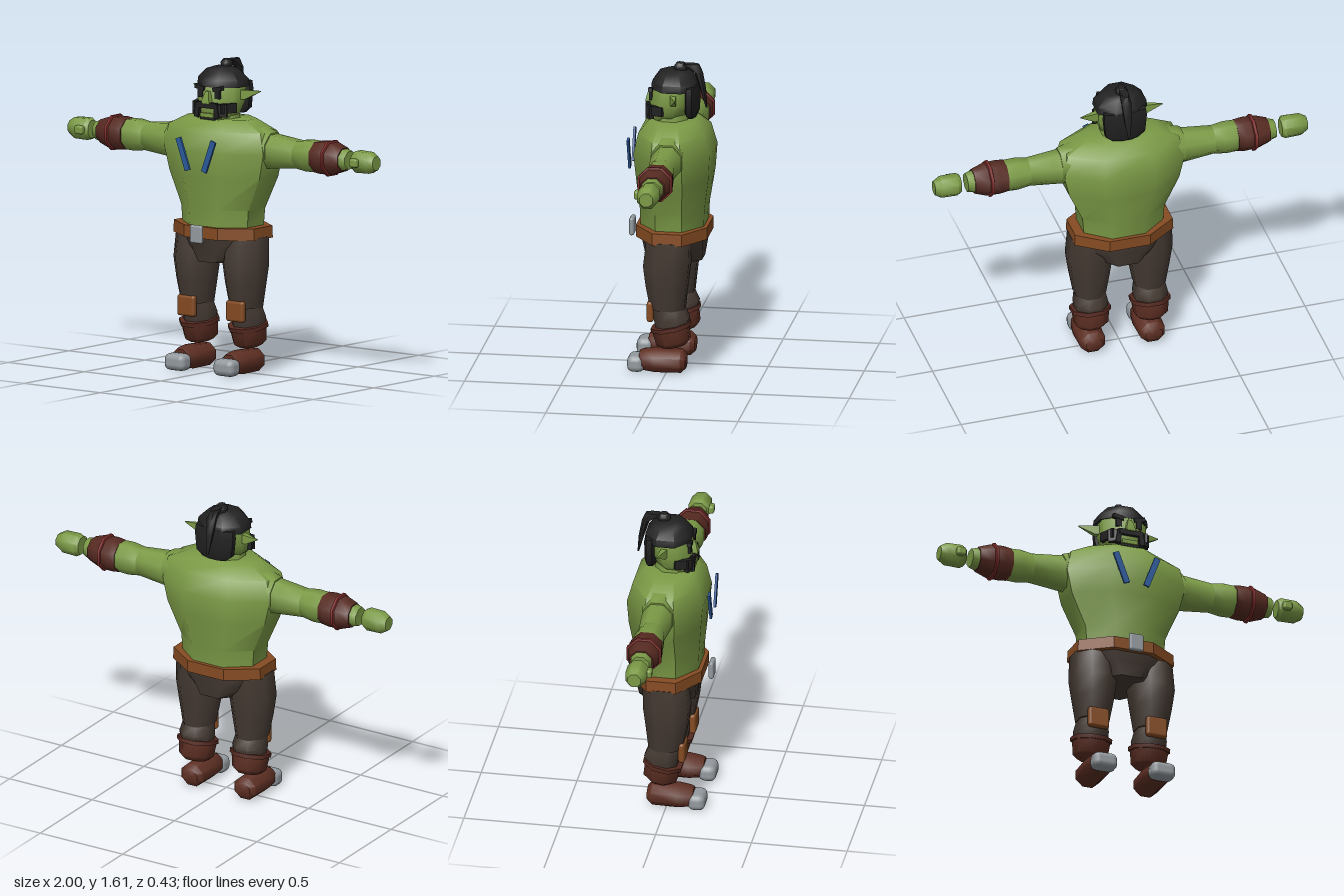
import * as THREE from 'three';
import { toCreasedNormals } from 'three/addons/utils/BufferGeometryUtils.js';
import { RoundedBoxGeometry } from 'three/addons/geometries/RoundedBoxGeometry.js';

const mat = (name, color) => new THREE.MeshStandardMaterial({ name, color });

// Octagonal loft along y; each section is [y, halfX, halfZ, centreX, centreZ].
function loft(sections, crease = 0.9, sides = 8) {
  const pos = [];
  const k = 1 / Math.cos(Math.PI / sides);
  const pt = ([y, hx, hz, cx = 0, cz = 0], j) => {
    const a = ((j + 0.5) / sides) * Math.PI * 2;
    return [cx + hx * k * Math.cos(a), y, cz + hz * k * Math.sin(a)];
  };
  const mid = ([y, , , cx = 0, cz = 0]) => [cx, y, cz];
  const last = sections.length - 1;
  for (let j = 0; j < sides; j++) {
    for (let i = 0; i < last; i++) {
      const a = pt(sections[i], j), b = pt(sections[i + 1], j);
      const c = pt(sections[i], j + 1), d = pt(sections[i + 1], j + 1);
      pos.push(...a, ...b, ...c, ...b, ...d, ...c);
    }
    pos.push(...mid(sections[0]), ...pt(sections[0], j), ...pt(sections[0], j + 1));
    pos.push(...mid(sections[last]), ...pt(sections[last], j + 1), ...pt(sections[last], j));
  }
  const g = new THREE.BufferGeometry();
  g.setAttribute('position', new THREE.Float32BufferAttribute(pos, 3));
  return toCreasedNormals(g, crease);
}

export function createModel() {
  const skin = mat('skin', 0x7b9a46), hair = mat('hair', 0x212122);
  const cloth = mat('trousers', 0x453a33), leather = mat('leather', 0x854b22);
  const boot = mat('bootLeather', 0x5e2f23), bracer = mat('bracerLeather', 0x562a21);
  const trim = mat('redTrim', 0x7c2c2a), steel = mat('steel', 0x949a9f);
  const blue = mat('blueStrap', 0x2b5a9c);

  const model = new THREE.Group();
  model.name = 'warrior';
  const add = (name, geo, m, p = [0, 0, 0], r = [0, 0, 0], parent = model) => {
    const mesh = new THREE.Mesh(geo, m);
    mesh.name = name;
    mesh.position.set(...p);
    mesh.rotation.set(...r);
    parent.add(mesh);
    return mesh;
  };
  const box = (w, h, d) => new THREE.BoxGeometry(w, h, d);
  const round = (w, h, d, r) => new RoundedBoxGeometry(w, h, d, 2, r);

  // Torso
  add('torso', loft([
    [0.73, 0.21, 0.163, 0, -0.015], [0.85, 0.22, 0.168, 0, -0.015],
    [1.02, 0.295, 0.188, 0, -0.02], [1.15, 0.325, 0.198, 0, -0.018],
    [1.26, 0.3, 0.17, 0, -0.015], [1.315, 0.19, 0.12, 0, -0.01],
  ]), skin);
  add('neck', loft([[1.29, 0.1, 0.09], [1.36, 0.09, 0.08]]), skin);

  // Belt, buckle and chest straps
  add('belt', loft([[0.7, 0.265, 0.185, 0, -0.015], [0.762, 0.262, 0.185, 0, -0.015]], 0.4), leather);
  add('buckle', round(0.08, 0.095, 0.026, 0.012), steel, [0, 0.727, 0.205]);
  for (const s of [-1, 1])
    add('chestStrap', box(0.032, 0.175, 0.012), blue, [s * 0.084, 1.137, 0.21], [0, 0, -s * 0.36]);

  // Hips
  add('hips', loft([
    [0.572, 0.13, 0.145, 0, -0.02], [0.65, 0.21, 0.155, 0, -0.02], [0.72, 0.25, 0.162, 0, -0.015],
  ]), cloth);

  // Head
  add('head', loft([
    [1.31, 0.075, 0.07, 0, 0.035], [1.345, 0.105, 0.095, 0, 0.015], [1.4, 0.12, 0.108, 0, 0],
    [1.5, 0.12, 0.105, 0, -0.01], [1.54, 0.09, 0.08, 0, -0.01],
  ]), skin);
  add('nose', loft([[1.395, 0.024, 0.022], [1.41, 0.024, 0.022], [1.46, 0.01, 0.008]], 0.5, 4), skin, [0, 0, 0.112]);
  add('lowerLip', box(0.085, 0.022, 0.03), skin, [0, 1.335, 0.108]);

  // Hair, topknot and ponytail
  add('hairCap', loft([
    [1.478, 0.133, 0.118, 0, -0.018], [1.515, 0.128, 0.114, 0, -0.018],
    [1.56, 0.085, 0.08, 0, -0.015], [1.576, 0.04, 0.045, 0, -0.015],
  ]), hair);
  add('backHair', loft([
    [1.33, 0.07, 0.025, 0, -0.105], [1.36, 0.105, 0.035, 0, -0.105],
    [1.46, 0.115, 0.036, 0, -0.105], [1.5, 0.11, 0.03, 0, -0.105],
  ]), hair);
  add('topknot', loft([[1.565, 0.026, 0.03], [1.59, 0.03, 0.034], [1.61, 0.018, 0.02]]), hair, [0, 0, -0.045]);
  add('ponytail', loft([
    [1.375, 0.005, 0.004, 0, -0.18], [1.47, 0.018, 0.014, 0, -0.163],
    [1.56, 0.026, 0.02, 0, -0.14], [1.605, 0.02, 0.05, 0, -0.09],
  ]), hair);

  // Beard and moustache
  add('moustache', box(0.12, 0.03, 0.025), hair, [0, 1.387, 0.115]);
  add('chinBeard', box(0.1, 0.016, 0.03), hair, [0, 1.319, 0.1]);
  for (const s of [-1, 1]) {
    add('moustacheEnd', box(0.026, 0.075, 0.028), hair, [s * 0.062, 1.36, 0.112], [0, 0, s * 0.15]);
    add('jawBeard', box(0.022, 0.05, 0.09), hair, [s * 0.104, 1.375, 0.072], [0, -s * 0.4, 0]);
    add('cheekBeard', box(0.045, 0.065, 0.025), hair, [s * 0.087, 1.363, 0.098], [0, s * 0.5, 0]);
    add('eyebrow', box(0.06, 0.022, 0.022), hair, [s * 0.058, 1.474, 0.1], [0, 0, s * 0.2]);
    add('eye', box(0.032, 0.045, 0.015), hair, [s * 0.055, 1.445, 0.1]);

    // Pointed ear, lofted outward from the head
    add('ear', loft([
      [0.1, 0.024, 0.018, 0, 0], [0.14, 0.024, 0.014, 0, -0.008], [0.22, 0.002, 0.002, -s * 0.022, -0.028],
    ], 0.5, 4), skin, [0, 1.438, -0.02], [0, 0, -s * Math.PI / 2]);

    // Arm, lofted along x
    const arm = new THREE.Group();
    arm.name = s > 0 ? 'leftArm' : 'rightArm';
    arm.position.set(0, 1.163, -0.022);
    arm.rotation.z = -s * Math.PI / 2;
    model.add(arm);
    const limb = (name, sections, m) => add(name, loft(sections), m, [0, 0, 0], [0, 0, 0], arm);
    limb('shoulder', [[0.19, 0.085, 0.07, -s * 0.03, 0], [0.25, 0.1, 0.085, -s * 0.02, 0],
      [0.33, 0.09, 0.08, -s * 0.005, 0]], skin);
    limb('upperArm', [[0.28, 0.092, 0.082], [0.37, 0.083, 0.075], [0.505, 0.07, 0.065]], skin);
    limb('forearm', [[0.49, 0.07, 0.065], [0.56, 0.08, 0.074], [0.63, 0.077, 0.074],
      [0.79, 0.055, 0.055], [0.828, 0.046, 0.046]], skin);
    limb('bracer', [[0.617, 0.078, 0.08], [0.66, 0.083, 0.084], [0.73, 0.08, 0.08], [0.792, 0.06, 0.062]], bracer);
    limb('bracerBand', [[0.697, 0.083, 0.083], [0.7, 0.09, 0.09], [0.715, 0.09, 0.09], [0.718, 0.083, 0.083]], trim);
    limb('hand', [[0.86, 0.045, 0.042], [0.88, 0.056, 0.054], [0.965, 0.054, 0.052], [1.0, 0.035, 0.034]], skin);
    add('thumb', round(0.045, 0.05, 0.05, 0.012), skin, [0, 0.9, 0.052], [0, 0, 0], arm);

    // Leg
    const leg = new THREE.Group();
    leg.name = s > 0 ? 'leftLeg' : 'rightLeg';
    leg.position.x = s * 0.16;
    model.add(leg);
    const part = (name, sections, m, p, r) => add(name, loft(sections), m, p, r, leg);
    part('thigh', [[0.34, 0.08, 0.088, 0, -0.005], [0.46, 0.1, 0.105, 0, 0],
      [0.57, 0.115, 0.118, 0, 0], [0.71, 0.11, 0.112, -s * 0.003, -0.01]], cloth);
    part('shin', [[0.24, 0.08, 0.08, 0, -0.025], [0.29, 0.085, 0.09, 0, -0.025],
      [0.345, 0.075, 0.08, 0, -0.01]], cloth);
    add('kneePad', round(0.115, 0.11, 0.035, 0.015), leather, [0, 0.327, 0.082], [0, 0, 0], leg);
    part('bootShaft', [[-0.058, 0.06, 0.06], [-0.035, 0.083, 0.086], [0.045, 0.092, 0.093]], boot,
      [0, 0.197, -0.027], [0.2, 0, 0]);
    part('bootCuff', [[-0.011, 0.1, 0.1], [0.011, 0.1, 0.1]], bracer, [0, 0.243, -0.02], [0.2, 0, 0]);

    // Foot and steel toe cap
    part('foot', [[-0.1, 0.045, 0.036], [-0.075, 0.064, 0.058], [0.06, 0.068, 0.06],
      [0.12, 0.06, 0.052], [0.14, 0.05, 0.045]], boot, [0, 0.06, 0], [Math.PI / 2, 0, 0]);
    add('toeCap', round(0.132, 0.088, 0.09, 0.032), steel, [0, 0.044, 0.158], [0, 0, 0], leg);
  }
  return model;
}
